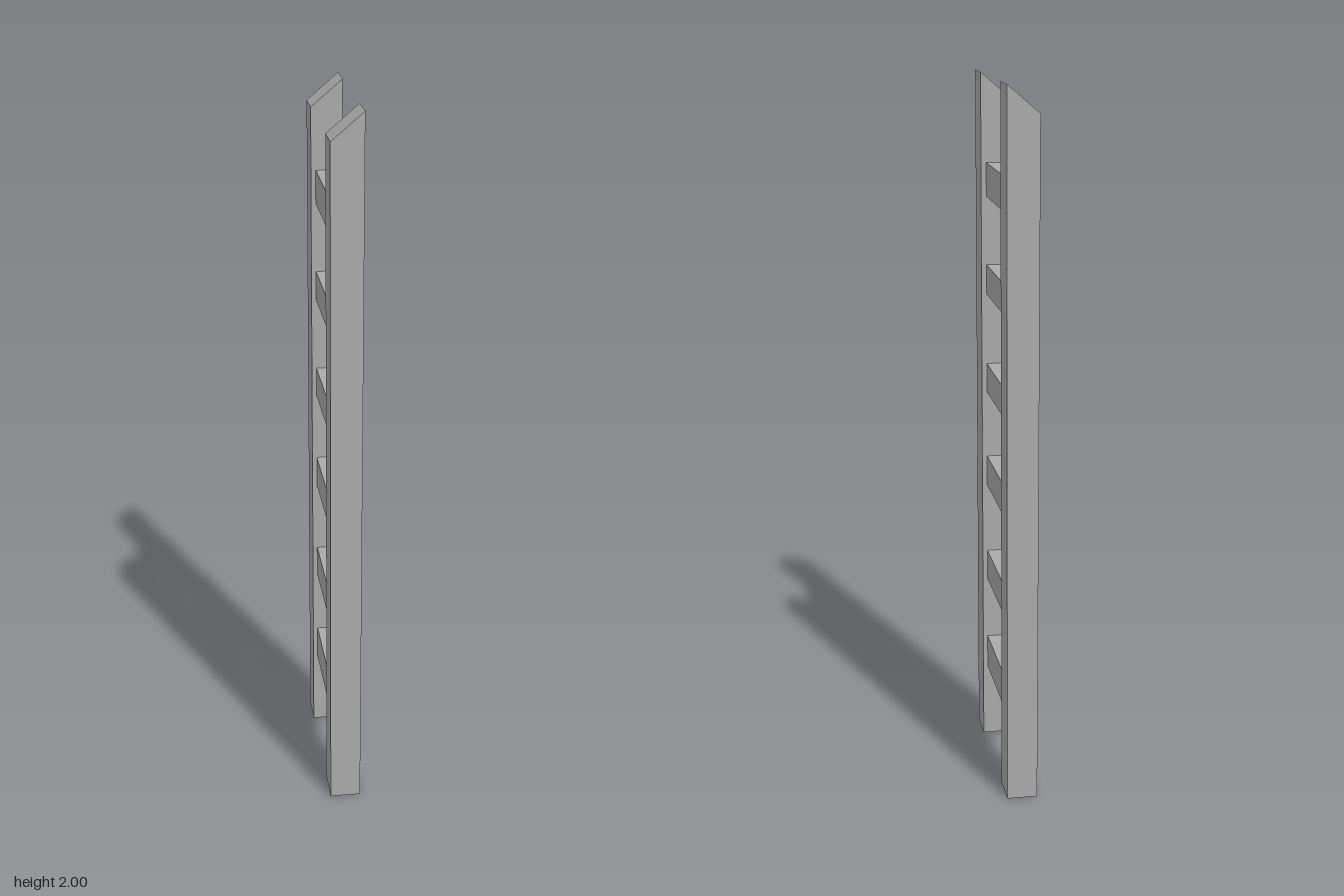
import * as THREE from 'three';

export function createModel() {
  const group = new THREE.Group();
  const grey = new THREE.MeshStandardMaterial({ color: 0xaaaaaa });
  grey.name = 'grey';

  // Upright profile with a slanted top
  const profile = new THREE.Shape([
    new THREE.Vector2(-0.045, 0),
    new THREE.Vector2(0.041, 0),
    new THREE.Vector2(0.043, 2),
    new THREE.Vector2(-0.045, 1.925),
  ]);
  const railGeometry = new THREE.ExtrudeGeometry(profile, { depth: 0.099, bevelEnabled: false });

  // Two uprights
  for (const [name, z] of [['frontRail', 0.167], ['backRail', -0.267]]) {
    const rail = new THREE.Mesh(railGeometry, grey);
    rail.name = name;
    rail.position.z = z;
    group.add(rail);
  }

  // Six rungs, given as bottom and top heights
  const rungs = [[0.22, 0.32], [0.505, 0.595], [0.8, 0.89], [1.085, 1.17], [1.375, 1.46], [1.655, 1.75]];
  rungs.forEach(([bottom, top], i) => {
    const rung = new THREE.Mesh(new THREE.BoxGeometry(0.06, top - bottom, 0.335), grey);
    rung.name = `rung${i + 1}`;
    rung.position.set(-0.002, (bottom + top) / 2, 0);
    group.add(rung);
  });

  return group;
}
